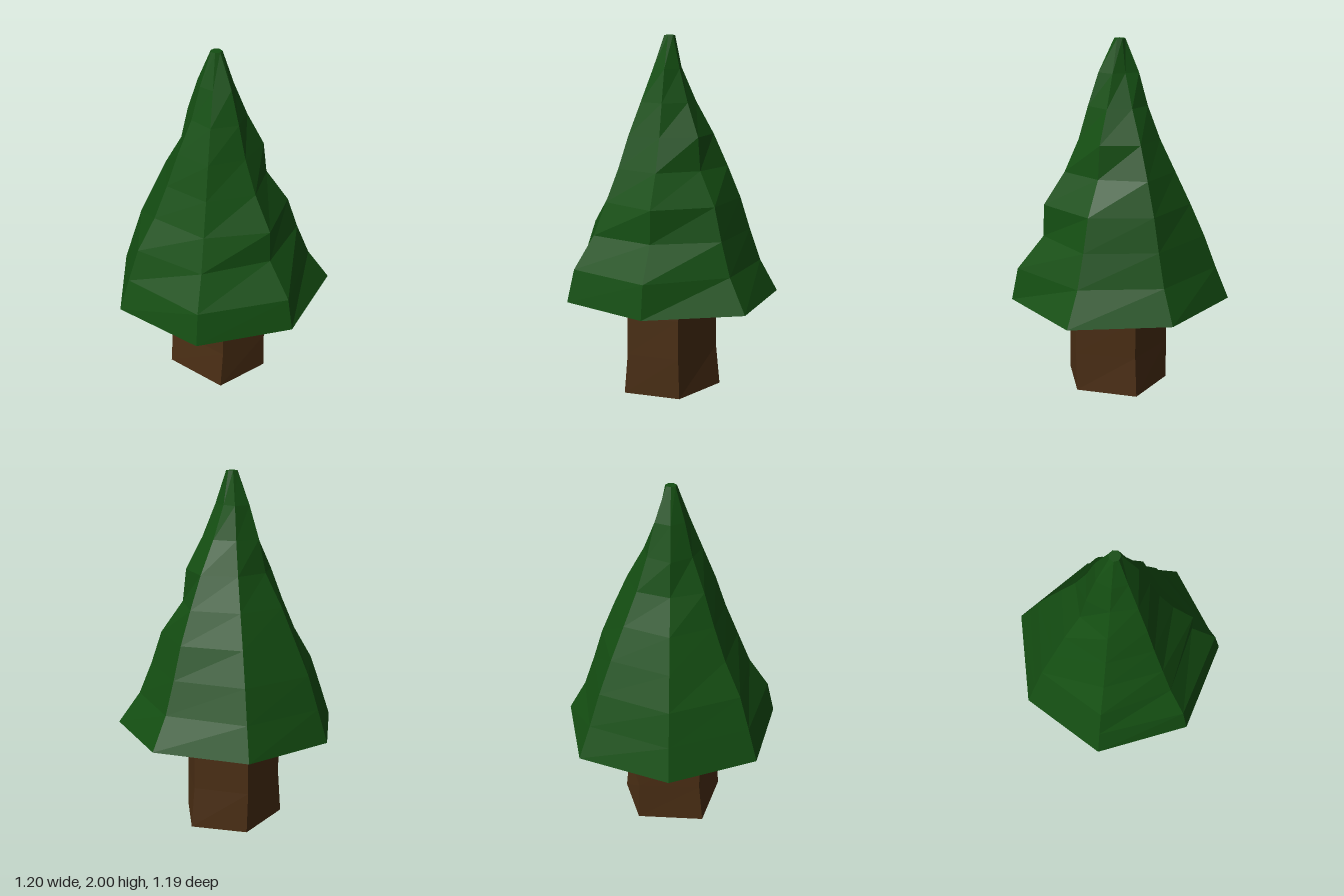
import * as THREE from 'three';

// Faceted skin over a stack of rings (each ring counter-clockwise seen from above)
function loft(rings, capBottom, capTop) {
  const pos = [];
  const tri = (a, b, c) => pos.push(...a, ...b, ...c);
  const n = rings[0].length;
  for (let r = 0; r < rings.length - 1; r++) {
    const lo = rings[r], hi = rings[r + 1];
    for (let i = 0; i < n; i++) {
      const j = (i + 1) % n;
      tri(lo[i], lo[j], hi[j]);
      tri(lo[i], hi[j], hi[i]);
    }
  }
  const top = rings[rings.length - 1], bottom = rings[0];
  for (let i = 1; i < n - 1; i++) {
    if (capTop) tri(top[0], top[i], top[i + 1]);
    if (capBottom) tri(bottom[0], bottom[i + 1], bottom[i]);
  }
  const geo = new THREE.BufferGeometry();
  geo.setAttribute('position', new THREE.Float32BufferAttribute(pos, 3));
  geo.computeVertexNormals();
  return geo;
}

function part(name, geo, color) {
  const mesh = new THREE.Mesh(geo, new THREE.MeshStandardMaterial({
    color, flatShading: true, side: THREE.DoubleSide,
  }));
  mesh.name = name;
  return mesh;
}

export function createModel() {
  const tree = new THREE.Group();
  tree.name = 'pineTree';

  // Five-sided trunk, slightly waisted, ending just inside the foliage
  const foot = [[0.09, -0.29], [-0.27, -0.18], [-0.24, 0.2], [0.08, 0.26], [0.28, -0.03]];
  const trunkRings = [[0, 1, 1], [0.23, 0.92, 1.01], [0.45, 0.92, 1], [0.65, 0.91, 0.97]]
    .map(([y, sx, sz]) => foot.map(([x, z]) => [x * sx, y, z * sz]));
  tree.add(part('trunk', loft(trunkRings, true, true), 0x4a2e14));

  // Foliage: seven ridges from rim to tip, each with its own uneven taper; open below
  const tip = [-0.015, -0.035];
  const ridges = [
    { rim: [-0.22, -0.6], taper: [1, 0.9, 0.8, 0.66, 0.52, 0.35, 0.28, 0.18, 0.05] },
    { rim: [-0.6, -0.24], taper: [1, 0.9, 0.795, 0.62, 0.49, 0.375, 0.24, 0.155, 0.05] },
    { rim: [-0.54, 0.3], taper: [1, 0.93, 0.74, 0.62, 0.5, 0.4, 0.28, 0.16, 0.05] },
    { rim: [-0.08, 0.59], taper: [1, 0.94, 0.7, 0.69, 0.5, 0.37, 0.285, 0.19, 0.05] },
    { rim: [0.45, 0.43], taper: [1, 0.81, 0.7, 0.61, 0.42, 0.39, 0.25, 0.14, 0.05] },
    { rim: [0.6, -0.11], taper: [1, 0.84, 0.74, 0.65, 0.53, 0.4, 0.24, 0.11, 0.05] },
    { rim: [0.32, -0.57], taper: [1, 0.88, 0.77, 0.64, 0.5, 0.36, 0.25, 0.17, 0.05] },
  ];
  const foliageRings = [];
  for (let k = 0; k <= 8; k++) {
    const y = 0.55 + (1.45 * k) / 8;
    foliageRings.push(ridges.map(({ rim, taper }) => [
      tip[0] + (rim[0] - tip[0]) * taper[k],
      y,
      tip[1] + (rim[1] - tip[1]) * taper[k],
    ]));
  }
  tree.add(part('foliage', loft(foliageRings, false, true), 0x144e12));

  return tree;
}
